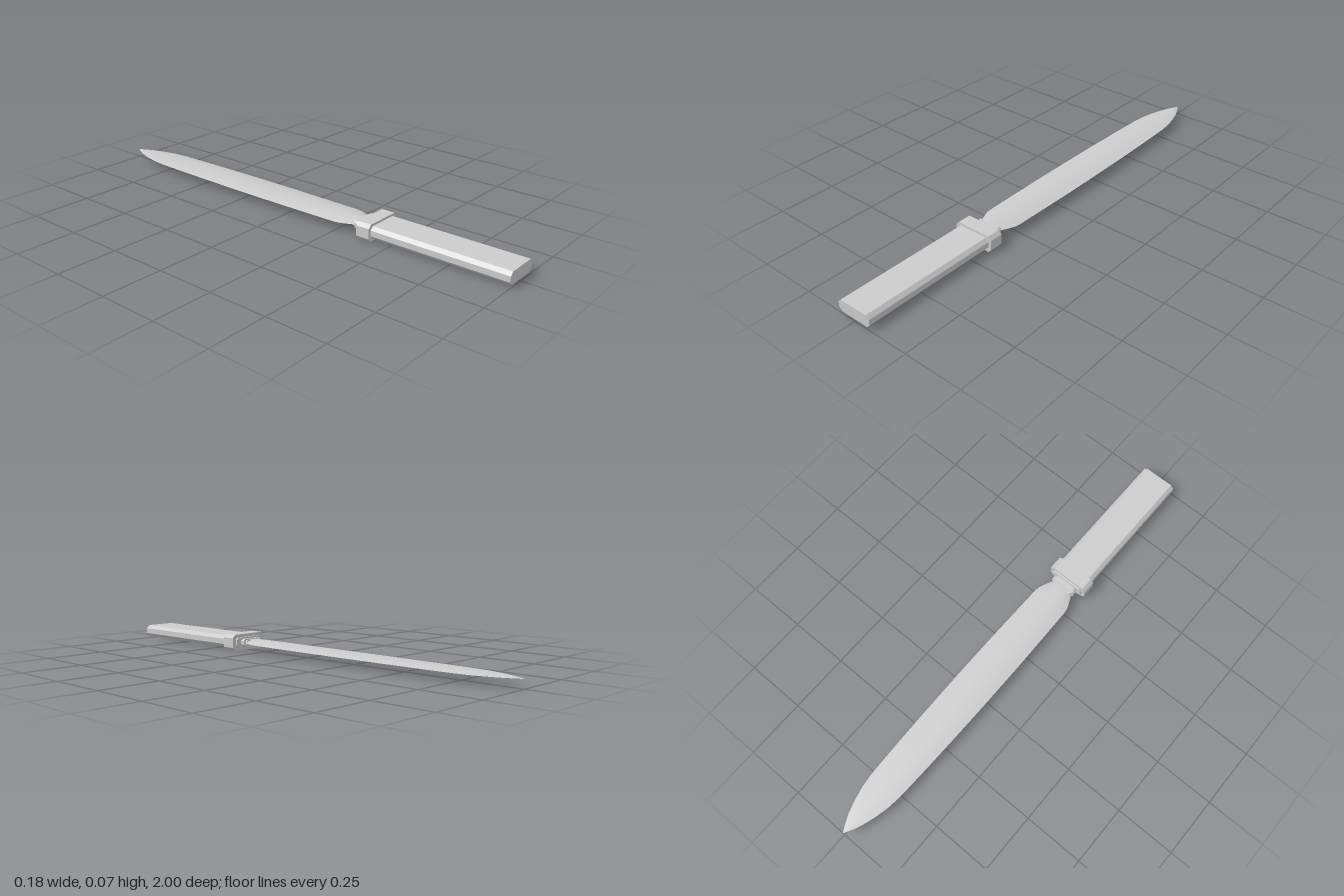
import * as THREE from 'three';

const MID = 0.035; // height of the centre line

// chamfered rectangular bar running along z
function bar(name, material, halfW, halfH, chamfer, z0, z1) {
  const w = halfW, h = halfH, c = chamfer;
  const shape = new THREE.Shape([
    [w - c, -h], [w, -h + c], [w, h - c], [w - c, h],
    [-w + c, h], [-w, h - c], [-w, -h + c], [-w + c, -h],
  ].map(([x, y]) => new THREE.Vector2(x, y)));
  const geometry = new THREE.ExtrudeGeometry(shape, { depth: z1 - z0, bevelEnabled: false });
  const mesh = new THREE.Mesh(geometry, material);
  mesh.name = name;
  mesh.position.set(0, MID, z0);
  return mesh;
}

// lens-section blade: two curved faces meeting at sharp edges
function bladeGeometry() {
  // z, half width, half thickness, from root to tip
  const stations = [
    [0.335, 0.045, 0.014], [0.315, 0.054, 0.014], [0.29, 0.066, 0.0135], [0.265, 0.076, 0.013],
    [0.24, 0.079, 0.013], [0.1, 0.081, 0.012], [-0.05, 0.083, 0.011], [-0.25, 0.083, 0.010],
    [-0.45, 0.081, 0.009], [-0.6, 0.078, 0.008], [-0.76, 0.073, 0.007], [-0.82, 0.066, 0.0065],
    [-0.88, 0.052, 0.006], [-0.93, 0.036, 0.005], [-0.97, 0.018, 0.0035], [-1, 0.0005, 0.0005],
  ];
  const cols = 12;
  const positions = [], indices = [];
  for (const side of [1, -1]) {
    const start = positions.length / 3;
    for (const [z, w, t] of stations) {
      for (let j = 0; j <= cols; j++) {
        const u = -1 + 2 * j / cols;
        positions.push(u * w, side * t * (1 - u * u), z);
      }
    }
    for (let i = 0; i < stations.length - 1; i++) {
      for (let j = 0; j < cols; j++) {
        const a = start + i * (cols + 1) + j, b = a + 1;
        const c = a + cols + 1, d = c + 1;
        if (side > 0) indices.push(a, b, c, b, d, c);
        else indices.push(a, c, b, b, c, d);
      }
    }
  }
  const geometry = new THREE.BufferGeometry();
  geometry.setAttribute('position', new THREE.Float32BufferAttribute(positions, 3));
  geometry.setIndex(indices);
  geometry.computeVertexNormals();
  return geometry;
}

export function createModel() {
  const group = new THREE.Group();
  group.name = 'dagger';
  const steel = new THREE.MeshStandardMaterial({ color: 0xcccccc });
  steel.name = 'pale grey';

  // grip and guard
  group.add(bar('handle', steel, 0.078, 0.0255, 0.014, 0.41, 1));
  group.add(bar('guard', steel, 0.09, 0.035, 0.014, 0.362, 0.42));

  // stepped collar between guard and blade
  const steps = [
    [0.073, 0.022, 0.01, 0.354, 0.364],
    [0.05, 0.013, 0.006, 0.338, 0.356],
    [0.056, 0.017, 0.008, 0.328, 0.342],
    [0.048, 0.012, 0.006, 0.318, 0.33],
  ];
  steps.forEach((s, i) => group.add(bar('collarStep' + (i + 1), steel, ...s)));

  // blade
  const blade = new THREE.Mesh(bladeGeometry(), steel);
  blade.name = 'blade';
  blade.position.y = MID;
  group.add(blade);

  return group;
}
